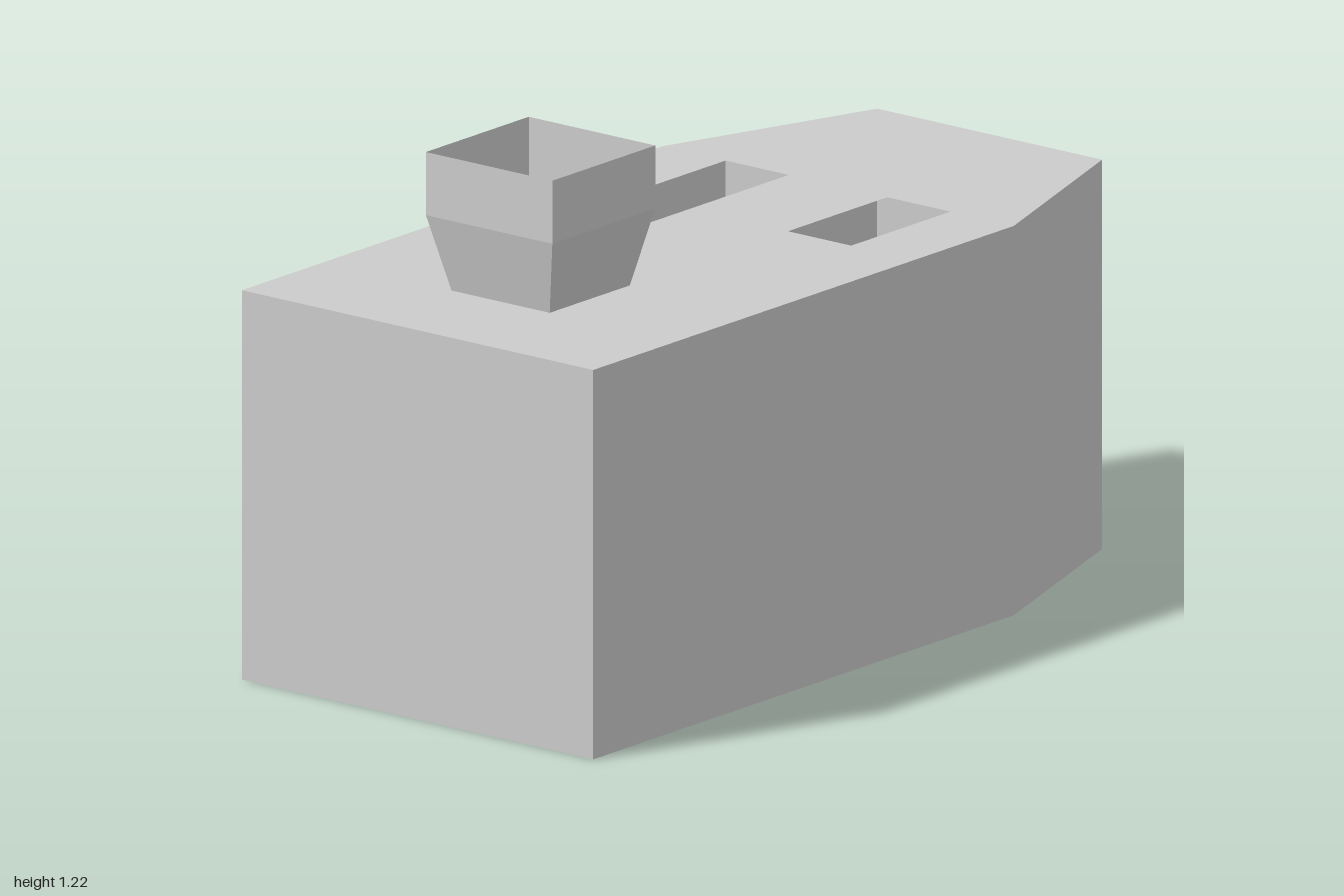
import * as THREE from 'three';

const material = new THREE.MeshStandardMaterial({ color: 0xcccccc, flatShading: true, side: THREE.DoubleSide });
const DECK = 0.895, FLOOR = 0.765;

function add(parent, name, geometry) {
  const mesh = new THREE.Mesh(geometry, material);
  mesh.name = name;
  parent.add(mesh);
  return mesh;
}

// Upright wall from [x, z] a (left) to b (right), as seen from its front
function wall(parent, name, a, b, y0, y1) {
  const dx = b[0] - a[0], dz = b[1] - a[1];
  const mesh = add(parent, name, new THREE.PlaneGeometry(Math.hypot(dx, dz), y1 - y0));
  mesh.rotation.y = Math.atan2(-dz, dx);
  mesh.position.set((a[0] + b[0]) / 2, (y0 + y1) / 2, (a[1] + b[1]) / 2);
}

// Closed outline on the ground plane, from [x, z] points
const outline = (points, Type = THREE.Shape) => new Type(points.map(([x, z]) => new THREE.Vector2(x, -z)));
const rectangle = (x0, x1, z0, z1) => outline([[x0, z0], [x1, z0], [x1, z1], [x0, z1]], THREE.Path);

// Four-sided open tube, sized by half widths
function squareTube(parent, name, top, bottom, y0, y1) {
  const g = new THREE.CylinderGeometry(top * Math.SQRT2, bottom * Math.SQRT2, y1 - y0, 4, 1, true);
  add(parent, name, g.rotateY(Math.PI / 4).translate(0, (y0 + y1) / 2, 0.57));
}

export function createModel() {
  const model = new THREE.Group();
  model.name = 'body with chimney';

  // Hull with a tapered rear end
  const hull = new THREE.Group();
  hull.name = 'hull';
  const plan = [[-0.5, 1], [0.5, 1], [0.5, -0.47], [0.32, -1], [-0.32, -1], [-0.5, -0.47]];
  plan.forEach((p, i) => wall(hull, 'hullSide', p, plan[(i + 1) % plan.length], 0, DECK));
  add(hull, 'hullBottom', new THREE.ShapeGeometry(outline(plan)).rotateX(Math.PI / 2).scale(1, 1, -1)
    .rotateZ(Math.PI).rotateY(0).scale(1, 1, 1));
  const bottom = hull.children[hull.children.length - 1];
  bottom.geometry = new THREE.ShapeGeometry(outline(plan)).rotateX(-Math.PI / 2);
  // Reverse the winding so the underside faces down
  bottom.geometry.index.array.reverse();
  bottom.geometry.computeVertexNormals();

  // Deck with two long slots and the chimney opening
  const deck = outline(plan);
  deck.holes.push(
    rectangle(0.14, 0.32, -0.47, 0.43),
    rectangle(-0.32, -0.14, -0.47, 0.43),
    rectangle(-0.139, 0.139, 0.431, 0.709),
  );
  add(hull, 'deck', new THREE.ShapeGeometry(deck).rotateX(-Math.PI / 2).translate(0, DECK, 0));
  model.add(hull);

  // Shallow chamber below the slots
  const chamber = new THREE.Group();
  chamber.name = 'chamber';
  add(chamber, 'chamberFloor', new THREE.PlaneGeometry(0.64, 1.18).rotateX(-Math.PI / 2).translate(0, FLOOR, 0.12));
  wall(chamber, 'chamberSide', [0.32, -0.47], [0.32, 0.71], FLOOR, DECK);
  wall(chamber, 'chamberSide', [-0.32, 0.71], [-0.32, -0.47], FLOOR, DECK);
  wall(chamber, 'chamberFront', [0.32, 0.71], [-0.32, 0.71], FLOOR, DECK);
  wall(chamber, 'slotEnd', [0.14, -0.47], [0.32, -0.47], FLOOR, DECK);
  wall(chamber, 'slotEnd', [-0.32, -0.47], [-0.14, -0.47], FLOOR, DECK);
  model.add(chamber);

  // Square chimney, flaring up from the chamber floor
  const chimney = new THREE.Group();
  chimney.name = 'chimney';
  squareTube(chimney, 'chimneyFlare', 0.18, 0.11, FLOOR, 1.07);
  squareTube(chimney, 'chimneyRim', 0.18, 0.18, 1.07, 1.215);
  model.add(chimney);

  return model;
}
